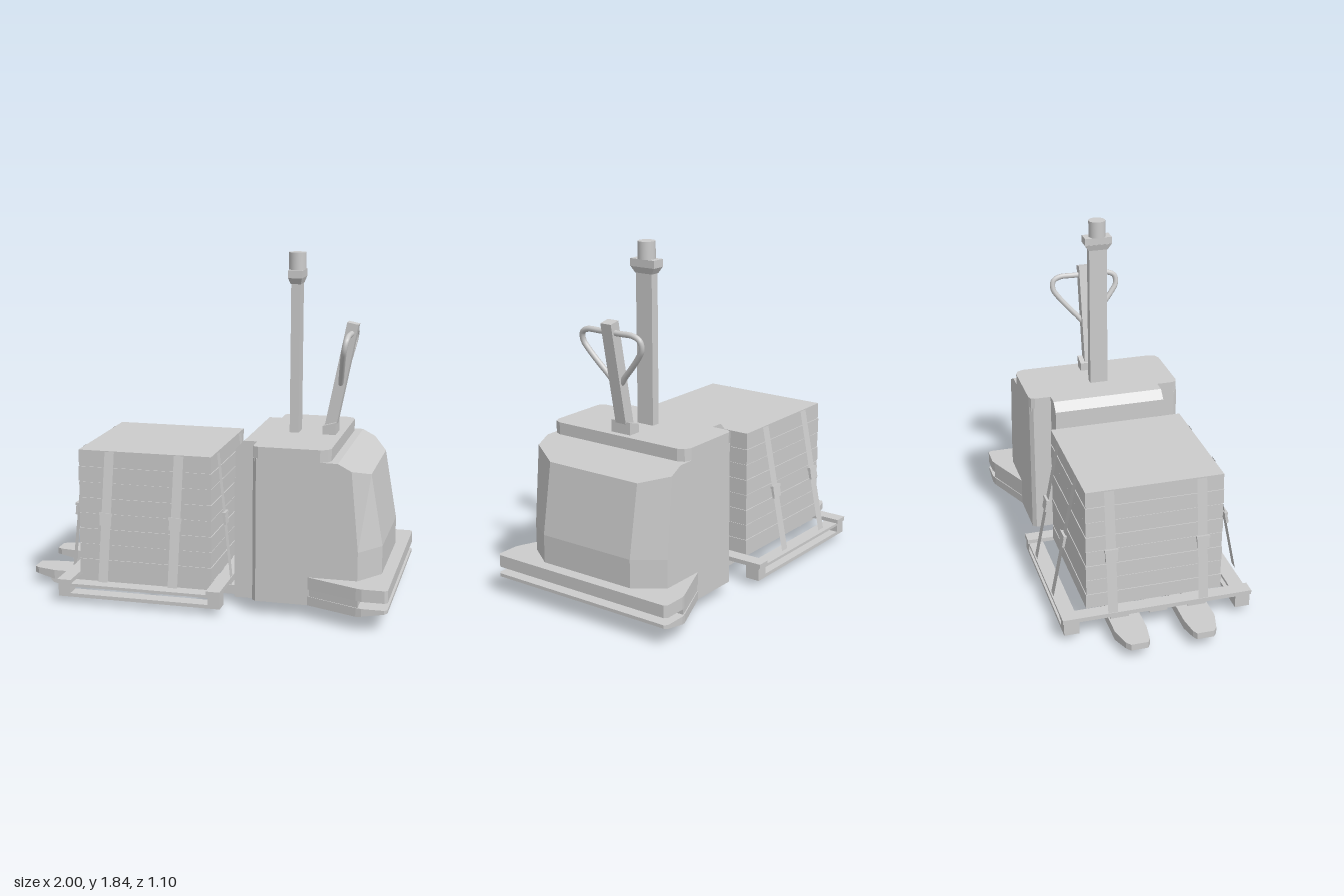
import * as THREE from 'three';

const grey = new THREE.MeshStandardMaterial({ color: 0xcccccc, flatShading: true });
const smooth = new THREE.MeshStandardMaterial({ color: 0xcccccc });
const thin = new THREE.MeshStandardMaterial({ color: 0xcccccc, side: THREE.DoubleSide });

function add(parent, name, geometry, material = grey) {
  const mesh = new THREE.Mesh(geometry, material);
  mesh.name = name;
  parent.add(mesh);
  return mesh;
}

// Box given by its limits on each axis
function box(parent, name, x0, x1, y0, y1, z0, z1) {
  const mesh = add(parent, name, new THREE.BoxGeometry(x1 - x0, y1 - y0, z1 - z0));
  mesh.position.set((x0 + x1) / 2, (y0 + y1) / 2, (z0 + z1) / 2);
  return mesh;
}

// Horizontal slab from an [x, z] outline; bottom(x) optionally shapes the underside
function slab(parent, name, outline, y0, y1, bottom) {
  const shape = new THREE.Shape(outline.map(([x, z]) => new THREE.Vector2(x, z)));
  const g = new THREE.ExtrudeGeometry(shape, { depth: y1 - y0, bevelEnabled: false });
  g.rotateX(Math.PI / 2).translate(0, y1, 0);
  const p = g.attributes.position;
  if (bottom) {
    for (let i = 0; i < p.count; i++) if (p.getY(i) < y0 + 0.001) p.setY(i, bottom(p.getX(i)));
    g.computeVertexNormals();
  }
  return add(parent, name, g);
}

// Completes half an outline (z > 0) with its mirror image
const mirrorZ = (half) => [...half, ...half.map(([x, z]) => [x, -z]).reverse()];

function wheel(parent, name, x, z, r, width) {
  const mesh = add(parent, name, new THREE.CylinderGeometry(r, r, width, 28), smooth);
  mesh.rotation.x = Math.PI / 2;
  mesh.position.set(x, r, z);
}

// Main housing: rings that change with height, with a sloping rear top
function housingGeometry() {
  const ring = (xc, xe, ys) => {
    const half = [[0.28, 0.41], [0.3, 0.43], [0.72, 0.43], [xc, 0.43], [xe, 0.28]]
      .map(([x, z], i) => [x, ys[i], z]);
    return [...half, ...half.map(([x, y, z]) => [x, y, -z]).reverse()];
  };
  const flat = (y) => [y, y, y, y, y];
  const rings = [
    ring(0.78, 0.83, flat(0.07)), ring(0.83, 0.935, flat(0.16)), ring(0.83, 0.935, flat(0.37)),
    ring(0.79, 0.87, [0.83, 0.83, 0.825, 0.788, 0.745]),
  ];
  const out = [];
  const fan = (pts) => {
    for (let i = 1; i < pts.length - 1; i++) out.push(...pts[0], ...pts[i], ...pts[i + 1]);
  };
  for (let k = 0; k < rings.length - 1; k++) {
    const a = rings[k], b = rings[k + 1];
    for (let i = 0; i < 10; i++) {
      const j = (i + 1) % 10;
      fan([a[i], a[j], b[j], b[i]]);
    }
  }
  const top = rings[3];
  fan([0, 1, 2, 7, 8, 9].map((i) => top[i]));
  fan([2, 3, 4, 5, 6, 7].map((i) => top[i]));
  fan([...rings[0]].reverse());
  const g = new THREE.BufferGeometry();
  g.setAttribute('position', new THREE.Float32BufferAttribute(out, 3));
  g.computeVertexNormals();
  return g;
}

function buildTruck() {
  const truck = new THREE.Group();
  truck.name = 'palletTruck';

  // Housing, lid and front column
  add(truck, 'housing', housingGeometry());
  slab(truck, 'lid', mirrorZ([[0.28, 0.4], [0.289, 0.421], [0.31, 0.43], [0.63, 0.43], [0.665, 0.415], [0.68, 0.38]]), 0.81, 0.89);
  const column = new THREE.Shape([[0.16, 0.04], [0.28, 0.04], [0.28, 0.89], [0.21, 0.89], [0.165, 0.845], [0.165, 0.69], [0.16, 0.69]]
    .map(([x, y]) => new THREE.Vector2(x, y)));
  add(truck, 'frontColumn', new THREE.ExtrudeGeometry(column, { depth: 0.62, bevelEnabled: false }).translate(0, 0, -0.31));

  // Standing platform: upper step, recessed core, sloping lower plate
  const step = mirrorZ([[0.55, 0.42], [0.84, 0.542], [0.87, 0.55], [0.985, 0.55], [1, 0.535]]);
  slab(truck, 'platformStep', step, 0.155, 0.22);
  slab(truck, 'platformCore', mirrorZ([[0.57, 0.425], [0.85, 0.54]]), 0.1, 0.17);
  slab(truck, 'platformPlate', step, 0.09, 0.118, (x) => 0.07 + Math.max(0, x - 0.83) * 0.18);

  // Drive wheel and stabilisers
  wheel(truck, 'driveWheel', 0.725, 0, 0.115, 0.08);
  for (const s of [-1, 1]) wheel(truck, 'stabiliserWheel', 0.76, s * 0.3, 0.077, 0.06);

  // Forks with tapered tips and rollers
  const fork = [[-1, 0.13], [-1, 0.22], [-0.975, 0.24], [-0.87, 0.268], [0.2, 0.268], [0.2, 0.1], [-0.87, 0.1], [-0.975, 0.115]];
  for (const s of [-1, 1]) {
    slab(truck, 'fork', fork.map(([x, z]) => [x, s * z]), 0.04, 0.09, (x) => (x < -0.9 ? 0.055 : 0.04));
    for (const x of [-0.875, -0.755]) wheel(truck, 'forkRoller', x, s * 0.18, 0.04, 0.08);
  }

  // Mast with flared head and beacon
  box(truck, 'mast', 0.397, 0.445, 0.88, 1.72, -0.05, 0.05);
  const flare = add(truck, 'mastFlare', new THREE.CylinderGeometry(Math.SQRT1_2, 0.5, 0.035, 4, 1).rotateY(Math.PI / 4));
  flare.scale.set(0.075, 1, 0.15);
  flare.position.set(0.421, 1.695, 0);
  box(truck, 'mastHead', 0.384, 0.459, 1.71, 1.75, -0.075, 0.075);
  const beacon = add(truck, 'beacon', new THREE.CylinderGeometry(0.046, 0.046, 0.09, 32), smooth);
  beacon.position.set(0.42, 1.795, 0);

  // Tiller: base, leaning arm and loop grip
  const base = new THREE.Shape([[0.575, 0.88], [0.645, 0.88], [0.645, 0.955], [0.575, 0.935]].map(([x, y]) => new THREE.Vector2(x, y)));
  add(truck, 'tillerBase', new THREE.ExtrudeGeometry(base, { depth: 0.12, bevelEnabled: false }).translate(0, 0, -0.06));
  const tiller = new THREE.Group();
  tiller.name = 'tiller';
  tiller.position.set(0.61, 0.92, 0);
  tiller.rotation.z = -0.195;
  truck.add(tiller);
  box(tiller, 'tillerArm', -0.03, 0.03, 0, 0.57, -0.033, 0.033);
  const side = [[0.23, 0.0], [0.29, 0.06], [0.4, 0.155], [0.45, 0.185], [0.495, 0.18], [0.515, 0.145], [0.517, 0.06]];
  const loop = [...side, ...side.slice(1).map(([y, z]) => [y, -z]).reverse()]
    .map(([y, z]) => new THREE.Vector3(0.005, y, z));
  add(tiller, 'tillerGrip', new THREE.TubeGeometry(new THREE.CatmullRomCurve3(loop, true), 80, 0.015, 10, true), smooth);
  return truck;
}

function buildPallet() {
  const pallet = new THREE.Group();
  pallet.name = 'pallet';
  // Side rails: top board, bottom runner, corner blocks
  for (const s of [-1, 1]) {
    const z0 = s * 0.465 - 0.04, z1 = z0 + 0.08;
    box(pallet, 'sideRail', -0.755, 0.13, 0.09, 0.105, z0, z1);
    box(pallet, 'bottomRunner', -0.755, 0.13, 0.033, 0.052, z0, z1);
    for (const x of [-0.755, 0.065]) box(pallet, 'cornerBlock', x, x + 0.065, 0.05, 0.092, z0, z1);
  }
  // Inner boards and end boards
  for (const z of [-0.21, 0, 0.21]) box(pallet, 'innerBoard', -0.755, 0.13, 0.09, 0.105, z - 0.05, z + 0.05);
  for (const x of [-0.76, 0.055]) box(pallet, 'endBoard', x, x + 0.075, 0.104, 0.127, -0.512, 0.512);
  return pallet;
}

function buildLoad() {
  const load = new THREE.Group();
  load.name = 'load';
  load.position.x = -0.315;

  // Stacked layers separated by narrow recessed joints
  const layers = 8, y0 = 0.125, h = (0.805 - y0) / layers;
  box(load, 'loadCore', -0.36, 0.36, y0, 0.8, -0.363, 0.363);
  for (let i = 0; i < layers; i++) {
    const d = i % 2 ? 0.002 : 0;
    box(load, 'loadLayer', -0.365 + d, 0.365 - d, y0 + i * h, y0 + (i + 1) * h - (i < layers - 1 ? 0.005 : 0), -0.368 + d, 0.368 - d);
  }

  // Slanted straps and buckles on all four sides
  for (let k = 0; k < 4; k++) {
    const face = new THREE.Group();
    face.name = 'strapSide';
    face.rotation.y = k * Math.PI / 2;
    load.add(face);
    const long = k % 2 === 0;
    const zTop = 0.371, zLow = long ? 0.505 : 0.442, offset = long ? 0.19 : 0.245;
    const rise = 0.675, run = zLow - zTop;
    for (const s of [-1, 1]) {
      const strap = new THREE.Group();
      strap.name = 'strap';
      strap.position.set(s * offset, 0.465, (zTop + zLow) / 2);
      strap.rotation.x = -Math.atan2(run, rise);
      face.add(strap);
      add(strap, 'strapBand', new THREE.PlaneGeometry(0.052, Math.hypot(rise, run)), thin);
      box(strap, 'buckle', -0.032, 0.032, -0.045, 0.02, -0.004, 0.01);
      box(strap, 'buckleBar', -0.036, 0.036, 0.008, 0.022, -0.004, 0.014);
    }
  }
  return load;
}

export function createModel() {
  const model = new THREE.Group();
  model.name = 'loadedPalletTruck';
  model.add(buildTruck(), buildPallet(), buildLoad());
  return model;
}
